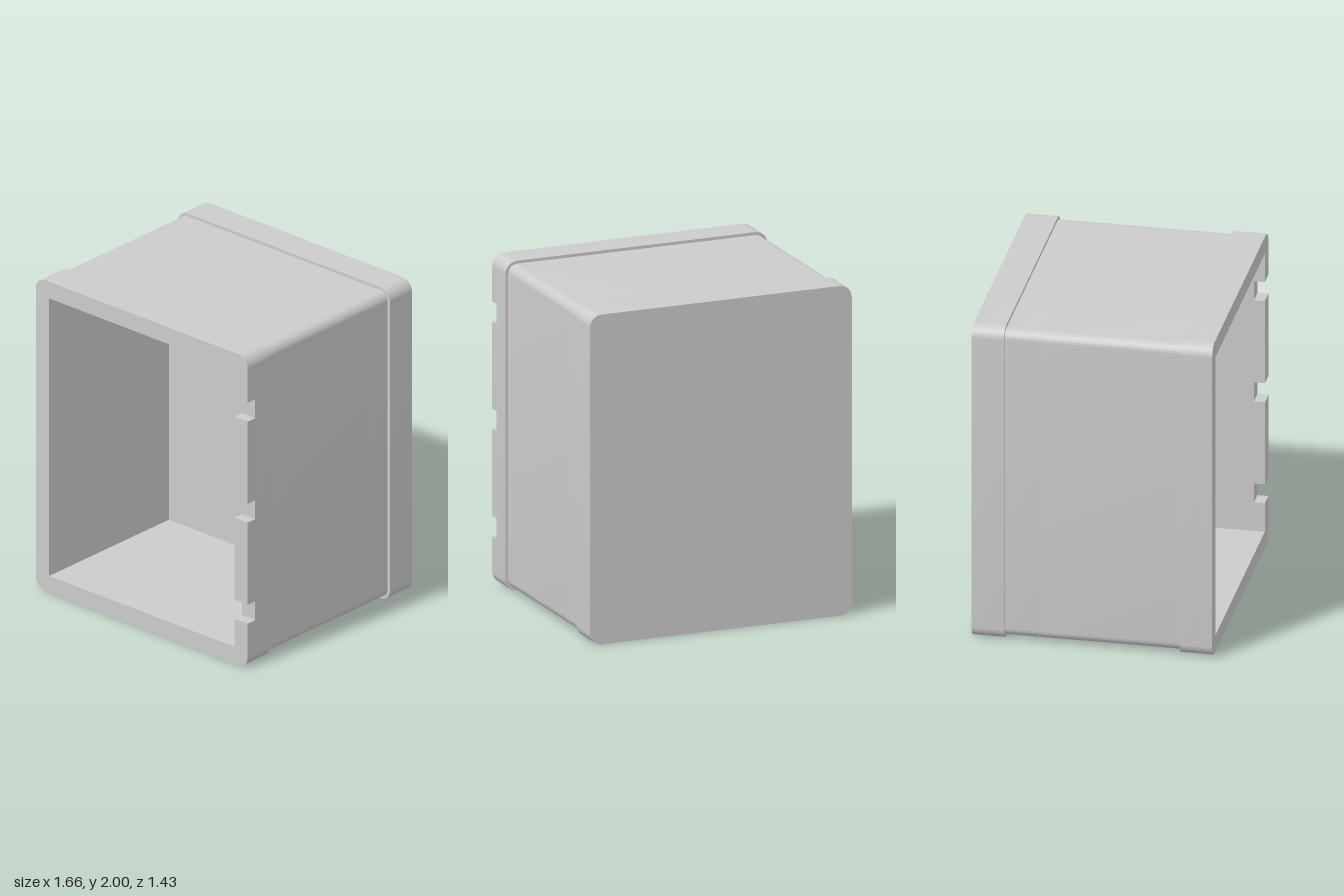
import * as THREE from 'three';
import { toCreasedNormals } from 'three/addons/utils/BufferGeometryUtils.js';

const W = 0.832, H = 1;                   // half width and height of the end bands
const INSET = 0.018;                      // how far the body sits below the bands
const R = 0.075;                          // corner radius of the bands
const IW = 0.727, IH = 0.893;             // half width and height of the opening
const FRONT = 0.715, BAND = 0.522;        // band faces along z, same at the back
const NOTCH_Z = 0.65, CAVITY_Z = -0.325;  // notch floor and cavity floor
const NOTCHES = [-0.65, 0, 0.65], NH = 0.061; // notch centres and half height

function roundedRect(w, h, r) {
  const s = new THREE.Shape();
  s.moveTo(w, -h + r);
  s.lineTo(w, h - r);
  s.absarc(w - r, h - r, r, 0, Math.PI / 2);
  s.absarc(-w + r, h - r, r, Math.PI / 2, Math.PI);
  s.absarc(-w + r, -h + r, r, Math.PI, Math.PI * 1.5);
  s.absarc(w - r, -h + r, r, Math.PI * 1.5, Math.PI * 2);
  return s;
}

function withOpening(shape) {
  const hole = new THREE.Path();
  hole.moveTo(-IW, -IH);
  hole.lineTo(-IW, IH);
  hole.lineTo(IW, IH);
  hole.lineTo(IW, -IH);
  hole.closePath();
  shape.holes.push(hole);
  return shape;
}

// C-shaped rim that runs from above the top notch round to below the bottom one
function rimShape() {
  const top = NOTCHES[2] + NH, bottom = NOTCHES[0] - NH;
  const s = new THREE.Shape();
  s.moveTo(W, top);
  s.lineTo(W, H - R);
  s.absarc(W - R, H - R, R, 0, Math.PI / 2);
  s.absarc(-W + R, H - R, R, Math.PI / 2, Math.PI);
  s.absarc(-W + R, -H + R, R, Math.PI, Math.PI * 1.5);
  s.absarc(W - R, -H + R, R, Math.PI * 1.5, Math.PI * 2);
  s.lineTo(W, bottom);
  s.lineTo(IW, bottom);
  s.lineTo(IW, -IH);
  s.lineTo(-IW, -IH);
  s.lineTo(-IW, IH);
  s.lineTo(IW, IH);
  s.lineTo(IW, top);
  s.closePath();
  return s;
}

export function createModel() {
  const model = new THREE.Group();
  model.name = 'box';
  const material = new THREE.MeshStandardMaterial({ color: 0xcccccc });

  const add = (name, shape, z0, z1) => {
    const solid = new THREE.ExtrudeGeometry(shape, { depth: z1 - z0, bevelEnabled: false, curveSegments: 12 });
    const mesh = new THREE.Mesh(toCreasedNormals(solid, 0.5), material);
    mesh.name = name;
    mesh.position.set(0, H, z0);
    model.add(mesh);
  };

  // Body: hollow walls closed by a thick back
  const body = () => roundedRect(W - INSET, H - INSET, R - INSET);
  add('bodyWalls', withOpening(body()), CAVITY_Z, BAND);
  add('bodyBack', body(), -BAND, CAVITY_Z);

  // Raised bands at both ends
  add('backBand', roundedRect(W, H, R), -FRONT, -BAND);
  add('frontBand', withOpening(roundedRect(W, H, R)), BAND, NOTCH_Z);

  // Front rim, with notches cut through its left side
  add('frontRim', rimShape(), NOTCH_Z, FRONT);
  for (let i = 0; i < NOTCHES.length - 1; i++) {
    const y0 = NOTCHES[i] + NH, y1 = NOTCHES[i + 1] - NH;
    const tab = new THREE.Shape([
      new THREE.Vector2(IW, y0), new THREE.Vector2(W, y0),
      new THREE.Vector2(W, y1), new THREE.Vector2(IW, y1),
    ]);
    add('rimTab' + (i + 1), tab, NOTCH_Z, FRONT);
  }
  return model;
}
